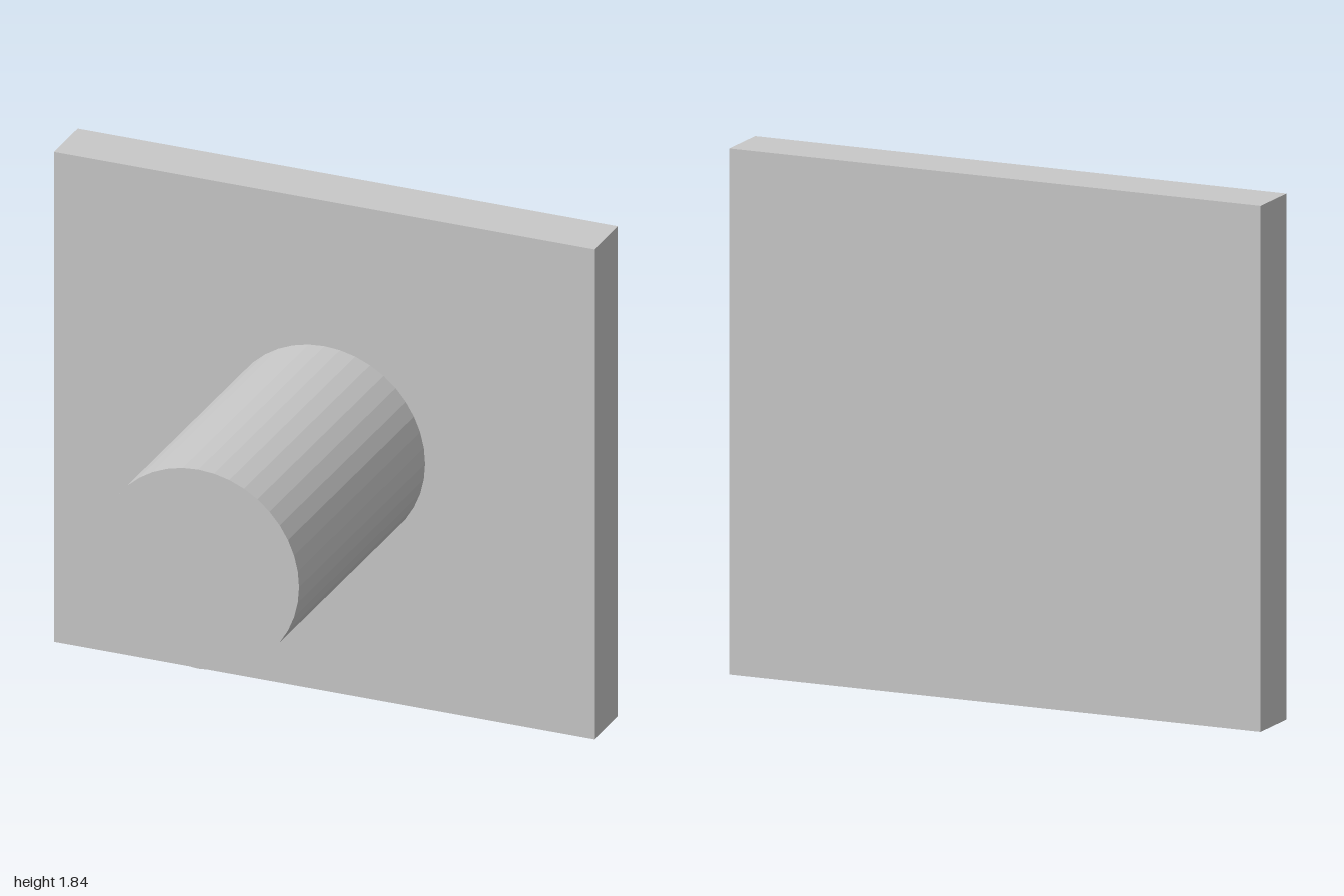
import * as THREE from 'three';

export function createModel() {
  const group = new THREE.Group();
  const grey = new THREE.MeshStandardMaterial({ color: 0xc8c8c8, flatShading: true });
  grey.name = 'light grey';

  const height = 1.836, back = -0.645, plateFront = -0.44, front = 0.645;

  // Square mounting plate at the back
  const plate = new THREE.Mesh(new THREE.BoxGeometry(2, height, plateFront - back), grey);
  plate.name = 'plate';
  plate.position.set(0, height / 2, (back + plateFront) / 2);
  group.add(plate);

  // Round post standing out from the plate's centre
  const post = new THREE.Mesh(
    new THREE.CylinderGeometry(0.373, 0.373, front - plateFront, 40).rotateX(Math.PI / 2), grey);
  post.name = 'post';
  post.position.set(0, height / 2, (plateFront + front) / 2);
  group.add(post);

  return group;
}
